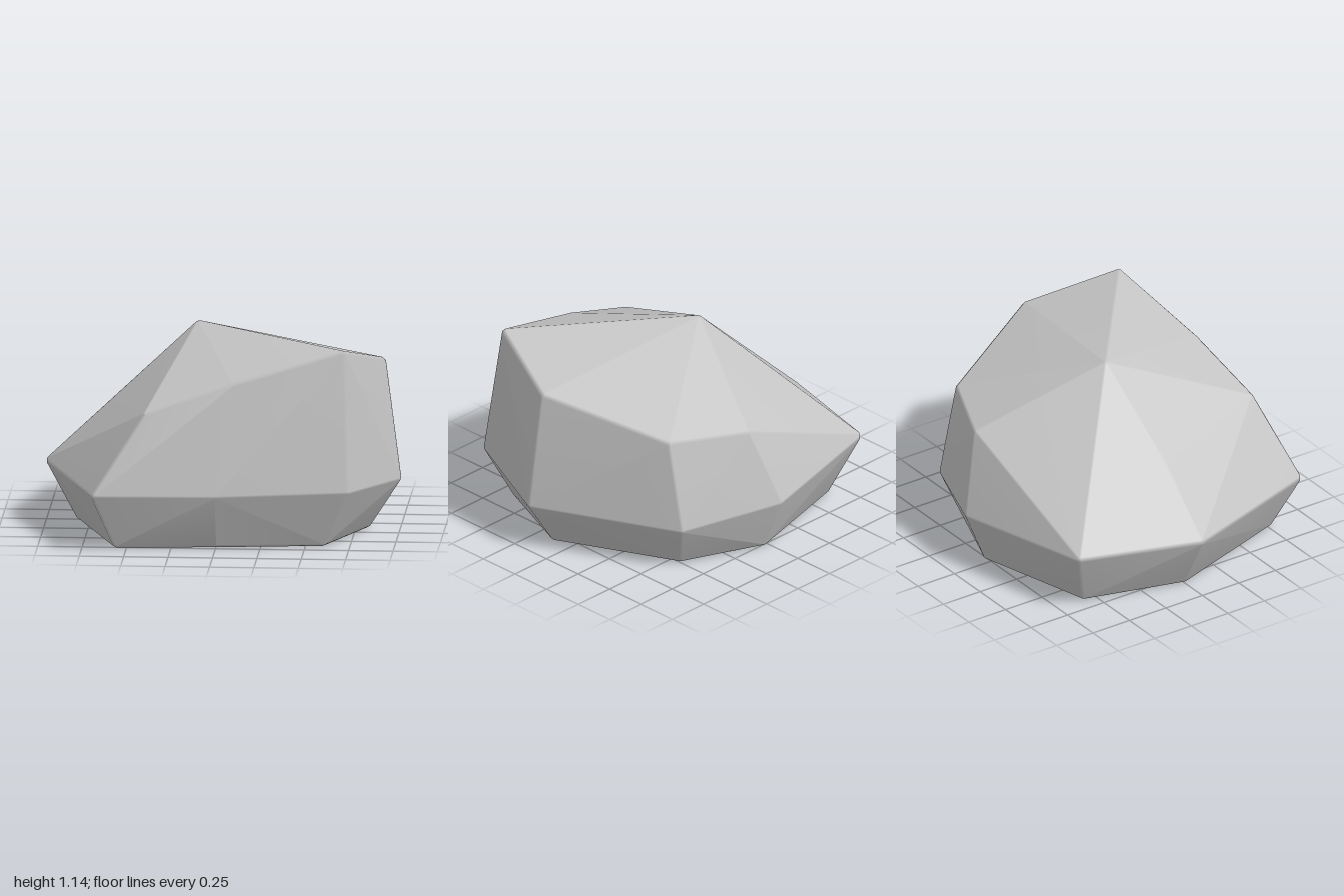
import * as THREE from 'three';
import { ConvexGeometry } from 'three/addons/geometries/ConvexGeometry.js';
import { mergeVertices } from 'three/addons/utils/BufferGeometryUtils.js';

const BEVEL = 0.025;

// Corner rings of the boulder, from the ground up
const base = [[-0.835, 0, 0], [-0.57, 0, 0.78], [0, 0, 0.73], [0.615, 0, 0.65],
  [0.835, 0, 0.12], [0.505, 0, -0.575], [0.03, 0, -0.775], [-0.67, 0, -0.585]];
const waist = [[-1.005, 0.335, 0], [-0.685, 0.32, 0.9], [0, 0.315, 0.855], [0.75, 0.33, 0.75],
  [1.01, 0.29, 0.135], [0.605, 0.28, -0.685], [0.03, 0.325, -0.905], [-0.805, 0.355, -0.705]];
const shoulder = [[-0.65, 0.68, 0], [-0.4, 0.765, 0.77], [0.1, 0.94, 0.725], [0.72, 1.11, 0.63],
  [0.92, 0.97, 0.12], [0.6, 0.8, -0.575], [0.15, 0.77, -0.765]];
const peak = [[-0.15, 1.14, -0.07]];

// Hull with every facet pushed out by the bevel, so thin strips join the facets
function bevelledHull(corners, bevel) {
  const centre = new THREE.Vector3(0, 0.4, 0);
  const inset = corners.map(([x, y, z]) => {
    const p = new THREE.Vector3(x, y, z);
    p.addScaledVector(centre.clone().sub(p).normalize(), bevel * 1.15);
    if (y === 0) p.y = bevel;
    return p;
  });
  const pos = new ConvexGeometry(inset).getAttribute('position');
  const points = new Map();
  const tri = new THREE.Triangle();
  const normal = new THREE.Vector3();
  for (let i = 0; i < pos.count; i += 3) {
    tri.setFromAttributeAndIndices(pos, i, i + 1, i + 2);
    tri.getNormal(normal);
    for (const v of [tri.a, tri.b, tri.c]) {
      const p = v.clone().addScaledVector(normal, bevel);
      points.set(p.toArray().map((n) => n.toFixed(4)).join(), p);
    }
  }
  // Area-weighted normals keep the facets flat and soften only the strips
  const hull = new ConvexGeometry([...points.values()]);
  hull.deleteAttribute('normal');
  const geometry = mergeVertices(hull, 1e-5);
  geometry.computeVertexNormals();
  return geometry;
}

export function createModel() {
  const group = new THREE.Group();
  group.name = 'rock';
  const stone = new THREE.MeshStandardMaterial({ color: 0xc5c5c5 });
  stone.name = 'pale grey stone';
  const boulder = new THREE.Mesh(bevelledHull([...base, ...waist, ...shoulder, ...peak], BEVEL), stone);
  boulder.name = 'boulder';
  group.add(boulder);
  return group;
}
